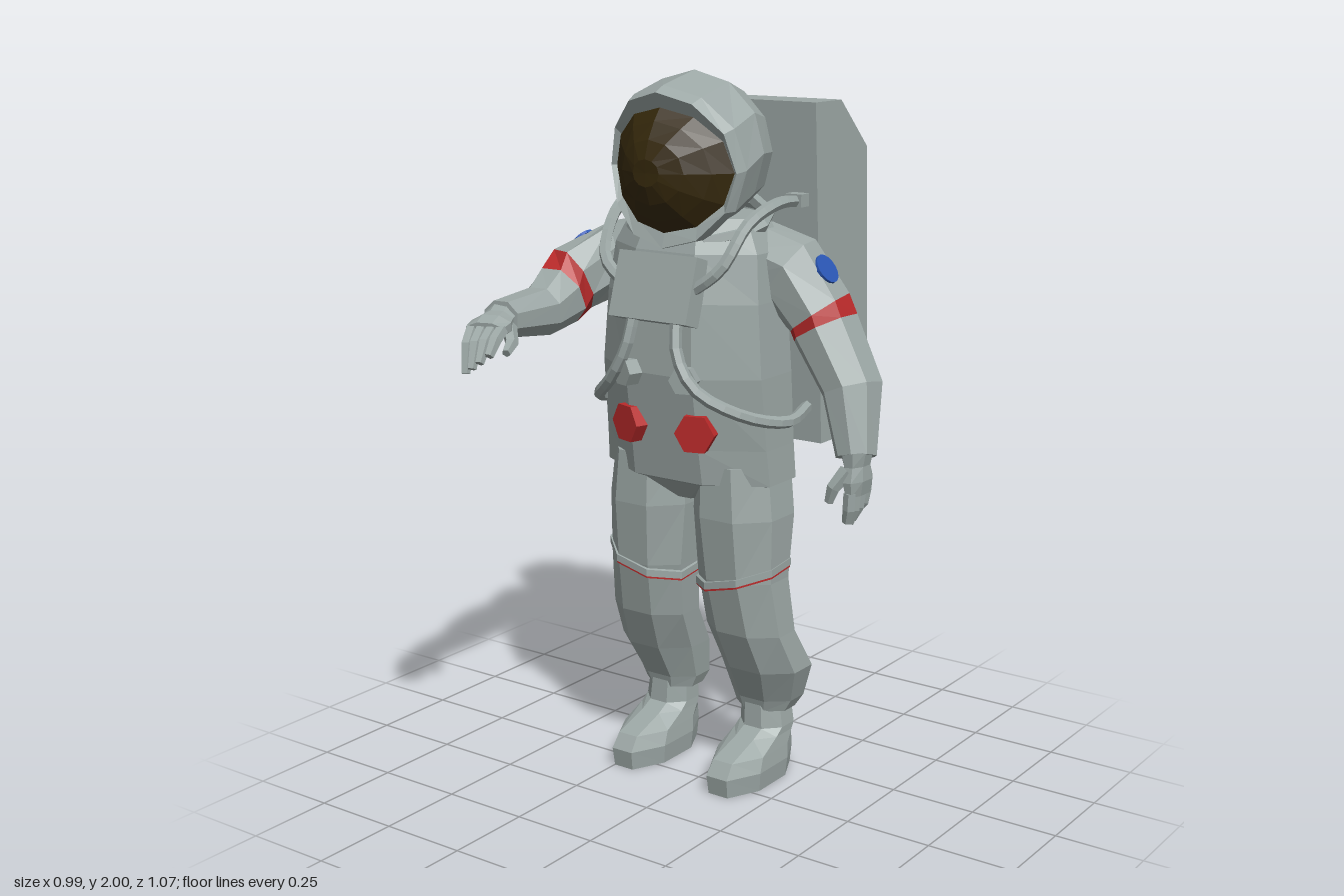
import * as THREE from 'three';

const V = (x, y, z) => new THREE.Vector3(x, y, z);
const CX = -0.05; // body centre line
const mat = (name, color) => { const m = new THREE.MeshStandardMaterial({ color }); m.name = name; return m; };

// Faceted closed skin over a list of point rings
function loft(rings) {
  const pos = [];
  let volume = 0;
  const n = rings[0].length;
  const tris = [];
  const tri = (a, b, c) => { tris.push([a, b, c]); volume += a.dot(b.clone().cross(c)); };
  const mean = r => r.reduce((s, p) => s.add(p), V(0, 0, 0)).divideScalar(n);
  for (let i = 0; i < rings.length - 1; i++) {
    for (let j = 0; j < n; j++) {
      const k = (j + 1) % n, A = rings[i], B = rings[i + 1];
      tri(A[j], A[k], B[k]);
      tri(A[j], B[k], B[j]);
    }
  }
  const first = rings[0], last = rings[rings.length - 1];
  const c0 = mean(first), c1 = mean(last);
  for (let j = 0; j < n; j++) {
    const k = (j + 1) % n;
    tri(c0, first[k], first[j]);
    tri(c1, last[j], last[k]);
  }
  for (const [a, b, c] of tris) for (const p of volume > 0 ? [a, b, c] : [a, c, b]) pos.push(p.x, p.y, p.z);
  const g = new THREE.BufferGeometry();
  g.setAttribute('position', new THREE.Float32BufferAttribute(pos, 3));
  g.computeVertexNormals();
  return g;
}

// Polygon ring with flat sides facing the u and v axes
function ring(c, u, v, a, b, n = 8) {
  const k = 1 / Math.cos(Math.PI / n);
  return Array.from({ length: n }, (_, j) => {
    const t = (j + 0.5) * 2 * Math.PI / n;
    return c.clone().addScaledVector(u, a * k * Math.cos(t)).addScaledVector(v, b * k * Math.sin(t));
  });
}

// Horizontal rings from rows [y, x0, x1, zBack, zFront]
const stack = rows => rows.map(([y, x0, x1, z0, z1]) =>
  ring(V((x0 + x1) / 2, y, (z0 + z1) / 2), V(1, 0, 0), V(0, 0, 1), (x1 - x0) / 2, (z1 - z0) / 2));

// Rings along a bent path from rows [x, y, z, a, b]
function limb(rows, ref, n = 8) {
  const p = rows.map(r => V(r[0], r[1], r[2]));
  return rows.map((r, i) => {
    const t = p[Math.min(i + 1, p.length - 1)].clone().sub(p[Math.max(i - 1, 0)]).normalize();
    const u = t.clone().cross(ref).normalize();
    return ring(p[i], u, u.clone().cross(t), r[3], r[4], n);
  });
}

function flat(g) {
  const f = g.index ? g.toNonIndexed() : g;
  f.computeVertexNormals();
  return f;
}

export function createModel() {
  const model = new THREE.Group();
  model.name = 'astronaut';
  const suit = mat('suitGrey', 0x9ca7a5), red = mat('bandRed', 0xb92a2a);
  const blue = mat('patchBlue', 0x2a56b4), gold = mat('visorBrown', 0x36290c);
  const add = (name, geo, material = suit, parent = model) => {
    const m = new THREE.Mesh(geo, material);
    m.name = name;
    parent.add(m);
    return m;
  };

  // Torso with lower skirt edge and pelvis
  add('torso', loft(stack([
    [0.83, -0.1, 0, -0.15, 0], [0.89, -0.27, 0.17, -0.21, 0.055], [0.9, -0.325, 0.225, -0.235, 0.075],
    [1.0, -0.32, 0.22, -0.235, 0.09], [1.2, -0.315, 0.215, -0.235, 0.12], [1.4, -0.3, 0.2, -0.23, 0.11],
    [1.53, -0.285, 0.185, -0.22, 0.085], [1.62, -0.24, 0.14, -0.2, 0.05]])));

  // Helmet shell: rows [rx, cy, ry, zSide, zTop, zBottom]
  const helmetRing = ([rx, cy, ry, zs, zt, zb]) => Array.from({ length: 12 }, (_, j) => {
    const t = j * Math.PI / 6, s = Math.sin(t);
    return V(CX + rx * Math.cos(t), cy + ry * s, zs + ((s > 0 ? zt : zb) - zs) * s * s);
  });
  add('helmet', loft([
    [0.19, 1.745, 0.163, 0.035, 0.1, 0.085], [0.205, 1.745, 0.205, 0.05, 0.125, 0.1],
    [0.218, 1.752, 0.215, 0.02, 0.09, 0.06], [0.218, 1.79, 0.21, -0.06, -0.05, -0.06],
    [0.185, 1.785, 0.18, -0.15, -0.15, -0.15], [0.11, 1.78, 0.115, -0.217, -0.217, -0.217]].map(helmetRing)));
  add('visor', loft([1, 0.8, 0.52, 0.22].map(t => helmetRing(
    [0.193 * t, 1.745, 0.165 * t, 0.175 - 0.135 * t * t, 0.175 - 0.07 * t * t, 0.175 - 0.085 * t * t]))), gold);
  const collar = add('neckRing', flat(new THREE.TorusGeometry(0.2, 0.022, 6, 12).scale(1, 0.75, 1)));
  collar.rotation.x = Math.PI / 2 + 0.33;
  collar.position.set(CX, 1.6, -0.075);

  // Life support pack: side profile [z, y], slightly wider at the bottom
  const profile = [[-0.22, 1.915], [-0.35, 1.915], [-0.485, 1.78], [-0.485, 1.13], [-0.375, 0.98], [-0.235, 0.98]];
  add('backpack', loft([-1, 1].map(s => profile.map(([z, y]) =>
    V(-0.053 + s * (0.278 + (1.915 - y) * 0.026), y, z)))));
  for (const [y, h, z] of [[1.705, 0.055, -0.52], [1.183, 0.048, -0.54]]) {
    add('packHandle', loft([-h, h].map(d => [[-0.28, -0.48], [0.18, -0.48], [0.13, z], [-0.23, z]].map(
      ([x, zz]) => V(x, y + d, zz)))));
  }

  // Chest control box, leaning forward at the bottom
  const box = add('chestBox', new THREE.BoxGeometry(0.255, 0.18, 0.06));
  box.position.set(CX, 1.435, 0.115);
  box.rotation.x = -0.3;

  for (const s of [-1, 1]) {
    const mx = d => CX + s * d; // mirrored distance from the centre line
    const hose = (name, pts) => add(name, flat(new THREE.TubeGeometry(
      new THREE.CatmullRomCurve3(pts.map(([d, y, z]) => V(mx(d), y, z))), 16, 0.017, 6)));
    hose('upperHose', [[0.23, 1.65, -0.23], [0.235, 1.655, -0.1], [0.22, 1.61, 0.02], [0.19, 1.5, 0.1], [0.1, 1.43, 0.12]]);
    hose('lowerHose', [[0.25, 1.08, -0.24], [0.295, 1.075, -0.06], [0.24, 1.11, 0.07], [0.14, 1.18, 0.145],
      [0.085, 1.27, 0.15], [0.07, 1.37, 0.13]]);
    add('hoseFitting', new THREE.BoxGeometry(0.05, 0.035, 0.04)).position.set(mx(0.23), 1.655, -0.205);

    // Hexagonal connectors on the belly
    const hex = (name, r, d, y, z, m) => {
      const k = add(name, flat(new THREE.CylinderGeometry(r, r, 0.05, 6).rotateY(Math.PI / 6).rotateX(Math.PI / 2)), m);
      k.position.set(mx(d), y, z);
      k.rotation.y = s * 0.3;
    };
    hex('redConnector', 0.057, 0.11, 1.05, 0.093, red);
    hex('hoseConnector', 0.04, 0.095, 1.2, 0.125, suit);

    // Leg and boot: rows [y, inner, outer, zBack, zFront]
    const side = rows => stack(rows.map(([y, i, o, z0, z1]) =>
      [y, Math.min(mx(i), mx(o)), Math.max(mx(i), mx(o)), z0, z1]));
    add('leg', loft(side([
      [0.95, 0.02, 0.26, -0.22, 0.05], [0.8, 0.015, 0.277, -0.215, 0.055], [0.62, 0.03, 0.275, -0.175, 0.038],
      [0.46, 0.042, 0.288, -0.185, 0.005], [0.34, 0.053, 0.303, -0.262, -0.045],
      [0.235, 0.065, 0.265, -0.265, -0.1], [0.2, 0.08, 0.245, -0.24, -0.11]])));
    const knee = (name, y, h, grow, m) => {
      const rings = side([-h, h].map(d => [y + d, 0.03 - grow, 0.275 + grow, -0.176 - grow, 0.039 + grow]));
      // Seam rises toward the outside and the back
      for (const p of rings.flat()) p.y += (s * (p.x - CX) - 0.15) * 0.25 - (p.z + 0.07) * 0.12;
      add(name, loft(rings), m);
    };
    knee('kneeSeam', 0.627, 0.01, 0.006, suit);
    knee('kneeStripe', 0.615, 0.004, 0.004, red);
    add('boot', loft(side([
      [0, 0.09, 0.245, -0.25, 0.072], [0.055, 0.085, 0.25, -0.257, 0.08], [0.095, 0.09, 0.245, -0.255, 0.05],
      [0.13, 0.095, 0.24, -0.25, -0.06], [0.15, 0.097, 0.24, -0.25, -0.1], [0.22, 0.1, 0.23, -0.245, -0.105]])));
  }

  // Arm skin with a red band and a round patch on one facet
  function arm(name, rows, ref, facet) {
    const g = new THREE.Group();
    g.name = name;
    model.add(g);
    const r = limb(rows, ref);
    add('upperArm', loft(r.slice(0, 3)), suit, g);
    add('armBand', loft(r.slice(2, 4)), red, g);
    add('forearm', loft(r.slice(3)), suit, g);
    const [a, b, c, d] = [r[1][facet], r[1][(facet + 1) % 8], r[2][facet], r[2][(facet + 1) % 8]];
    const mid = a.clone().add(b).add(c).add(d).divideScalar(4);
    const normal = b.clone().sub(c).cross(d.clone().sub(a)).normalize();
    const axis = V(rows[1][0] + rows[2][0], rows[1][1] + rows[2][1], rows[1][2] + rows[2][2]).divideScalar(2);
    if (normal.dot(mid.clone().sub(axis)) < 0) normal.negate();
    const patch = add('armPatch', flat(new THREE.CylinderGeometry(0.042, 0.042, 0.009, 16)), blue, g);
    patch.position.copy(mid).addScaledVector(normal, 0.002);
    patch.quaternion.setFromUnitVectors(V(0, 1, 0), normal);
  }
  arm('leftArm', [
    [0.1, 1.5, -0.13, 0.1, 0.09], [0.2, 1.47, -0.14, 0.105, 0.09], [0.285, 1.365, -0.16, 0.085, 0.1],
    [0.303, 1.325, -0.162, 0.083, 0.1], [0.395, 1.17, -0.155, 0.073, 0.092], [0.44, 1.0, -0.105, 0.05, 0.057]],
  V(0, 0, -1), 7);
  arm('rightArm', [
    [-0.2, 1.5, -0.13, 0.1, 0.1], [-0.35, 1.47, -0.11, 0.11, 0.095], [-0.413, 1.415, 0.03, 0.085, 0.09],
    [-0.42, 1.375, 0.08, 0.08, 0.085], [-0.408, 1.345, 0.18, 0.067, 0.065], [-0.393, 1.352, 0.36, 0.055, 0.048]],
  V(0, 1, 0), 0);

  // Glove: points along -y, thumb at +z, curls toward -s on x
  function glove(name, s, curl) {
    const g = new THREE.Group();
    g.name = name;
    model.add(g);
    add('palm', loft(stack([[0.02, -0.04, 0.04, -0.048, 0.048], [-0.02, -0.03, 0.03, -0.045, 0.045],
      [-0.06, -0.03, 0.03, -0.058, 0.056], [-0.1, -0.02, 0.02, -0.056, 0.05]])), suit, g);
    for (let i = 0; i < 4; i++) {
      const z = -0.043 + i * 0.028, l = [0.8, 0.95, 1, 0.92][i], c = curl * (1.2 - i * 0.22);
      add('finger', loft(limb([[0, -0.09, z, 0.014, 0.014], [-s * c * 0.3, -0.09 - 0.05 * l, z, 0.014, 0.014],
        [-s * c, -0.09 - 0.09 * l, z * 0.9, 0.01, 0.01]], V(0, 0, 1), 5)), suit, g);
    }
    add('thumb', loft(limb([[-s * 0.01, -0.03, 0.035, 0.018, 0.018], [-s * 0.04, -0.075, 0.06, 0.015, 0.015],
      [-s * 0.055, -0.115, 0.06, 0.01, 0.01]], V(0, 0, 1), 5)), suit, g);
    return g;
  }
  const left = glove('leftGlove', 1, 0.03);
  left.position.set(0.445, 1.0, -0.1);
  left.rotation.z = 0.06;
  const right = glove('rightGlove', -1, 0.085);
  const y = V(-0.3, 0.12, -0.94).normalize();
  const z = V(0, -1, 0).cross(y).normalize();
  right.quaternion.setFromRotationMatrix(new THREE.Matrix4().makeBasis(y.clone().cross(z), y, z));
  right.position.set(-0.393, 1.352, 0.36);

  return model;
}
